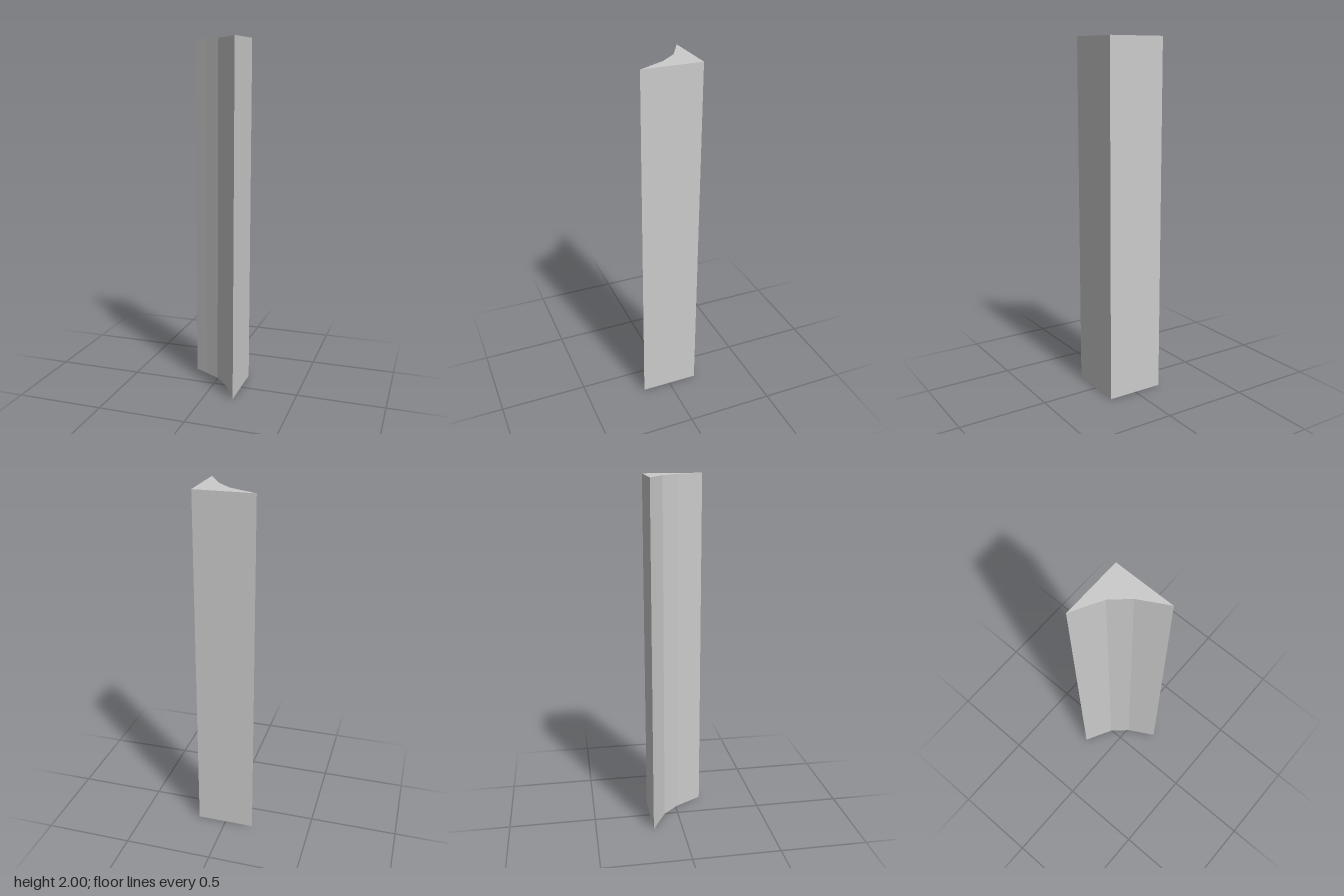
import * as THREE from 'three';

export function createModel() {
  const group = new THREE.Group();
  group.name = 'coveMoulding';

  // Cross-section (x, z): square back corner with a faceted concave front
  const section = [
    [0.166, -0.168], [-0.166, -0.168], [-0.09, -0.128],
    [-0.004, -0.08], [0.079, 0.011], [0.166, 0.165],
  ];
  const shape = new THREE.Shape(section.map(([x, z]) => new THREE.Vector2(x, -z)));

  // Extrude the section and stand it upright
  const geometry = new THREE.ExtrudeGeometry(shape, { depth: 2, bevelEnabled: false });
  geometry.rotateX(-Math.PI / 2);

  const strip = new THREE.Mesh(
    geometry,
    new THREE.MeshStandardMaterial({ color: 0xcccccc, flatShading: true })
  );
  strip.name = 'mouldingStrip';
  group.add(strip);
  return group;
}
